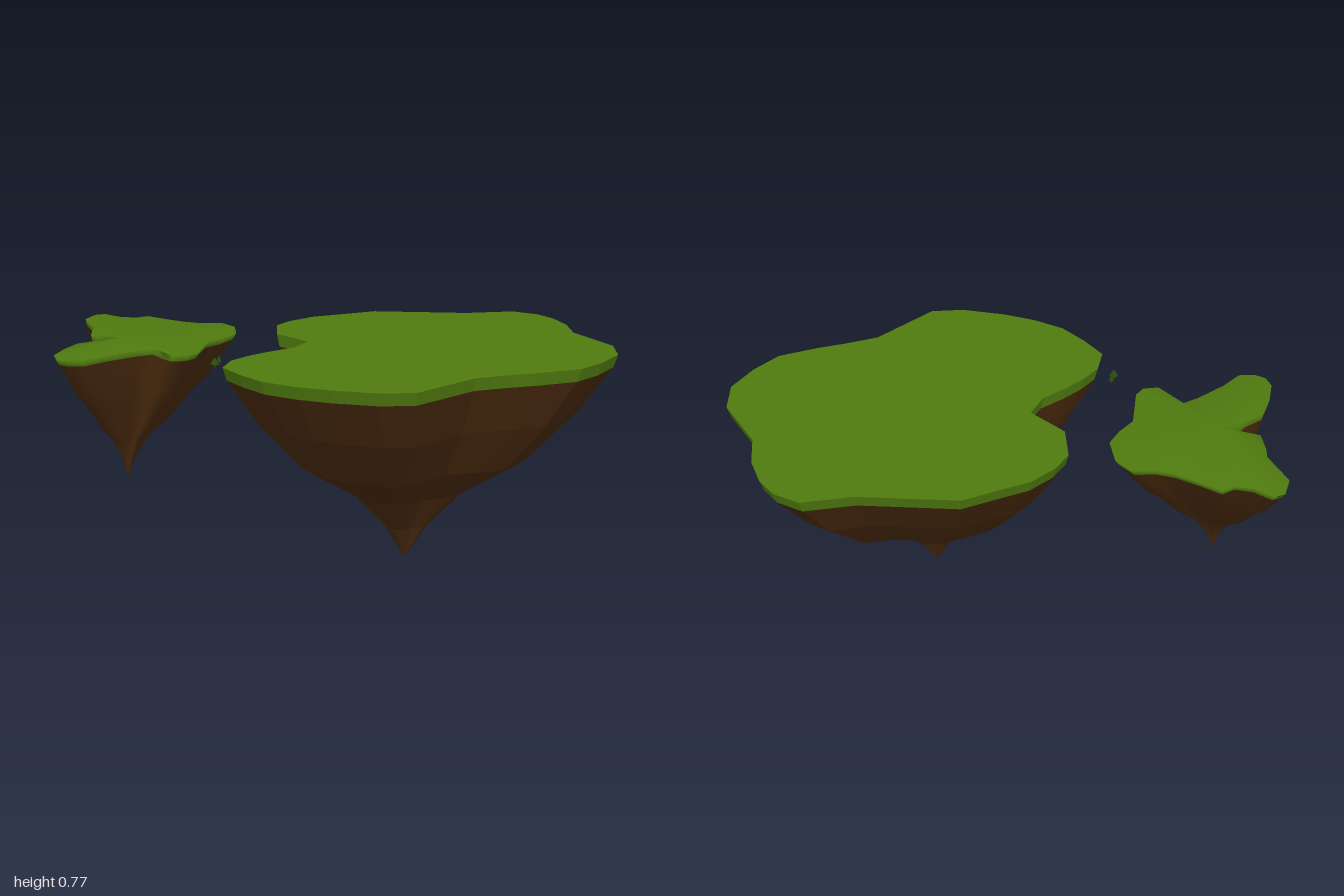
import * as THREE from 'three';

// Island outlines as [x, z], clockwise seen from above
const BIG = [
  [0.5, -0.67], [0.6, -0.65], [0.67, -0.6], [0.74, -0.51], [0.79, -0.39], [0.96, -0.235], [1, -0.11],
  [0.97, 0.02], [0.92, 0.13], [0.81, 0.22], [0.71, 0.29], [0.62, 0.36], [0.555, 0.48], [0.49, 0.6],
  [0.38, 0.645], [0.22, 0.66], [0.1, 0.655], [-0.02, 0.63], [-0.12, 0.57], [-0.21, 0.5], [-0.22, 0.4],
  [-0.19, 0.32], [-0.145, 0.24], [-0.085, 0.155], [-0.07, 0.055], [-0.215, -0.02], [-0.265, -0.15],
  [-0.245, -0.235], [-0.19, -0.33], [0, -0.5], [0.34, -0.585],
];
const SMALL = [
  [-1, -0.135], [-0.97, -0.16], [-0.9, -0.135], [-0.835, -0.14], [-0.8, -0.18], [-0.715, -0.155],
  [-0.625, -0.135], [-0.555, -0.135], [-0.485, -0.16], [-0.42, -0.12], [-0.375, -0.025], [-0.39, 0.05],
  [-0.42, 0.125], [-0.405, 0.21], [-0.39, 0.29], [-0.405, 0.335], [-0.455, 0.36], [-0.5, 0.33],
  [-0.56, 0.285], [-0.605, 0.335], [-0.675, 0.44], [-0.715, 0.525], [-0.77, 0.545], [-0.81, 0.535],
  [-0.84, 0.495], [-0.85, 0.4], [-0.845, 0.31], [-0.795, 0.24], [-0.78, 0.175], [-0.86, 0.175],
  [-0.895, 0.095], [-0.905, 0.055], [-1, -0.055],
];

// Skin between copies of an outline, each level [y, scale] shrunk toward the centre
function loft(outline, [cx, cz], levels) {
  const n = outline.length, pos = [], index = [];
  for (const [y, s] of levels)
    for (const [x, z] of outline) pos.push(cx + (x - cx) * s, y, cz + (z - cz) * s);
  for (let k = 0; k < levels.length - 1; k++)
    for (let i = 0; i < n; i++) {
      const a = k * n + i, b = k * n + (i + 1) % n;
      if (levels[k][1] > 0) index.push(a, b, a + n);
      if (levels[k + 1][1] > 0) index.push(b, b + n, a + n);
    }
  const g = new THREE.BufferGeometry();
  g.setAttribute('position', new THREE.Float32BufferAttribute(pos, 3));
  g.setIndex(index);
  g.computeVertexNormals();
  return g;
}

const paint = (color, flatShading = false) => new THREE.MeshStandardMaterial({ color, flatShading });

function part(parent, name, geometry, material, x = 0, y = 0, z = 0) {
  const m = new THREE.Mesh(geometry, material);
  m.name = name;
  m.position.set(x, y, z);
  parent.add(m);
  return m;
}

// Grass cap over a tapering rock; the first rock level is the lower edge of the cap
function island(name, outline, centre, top, rock, flat) {
  const g = new THREE.Group();
  g.name = name;
  part(g, 'grass', loft(outline, centre, [[top, 0], [top, 1], rock[0]]), paint(0x4f7a0f, flat));
  part(g, 'rock', loft(outline, centre, rock), paint(0x4a2a0e, flat));
  return g;
}

// Tiny floating tree: cone crown on a short stem
function tree(x, y, z, s) {
  const g = new THREE.Group();
  g.name = 'tinyTree';
  part(g, 'crown', new THREE.ConeGeometry(0.016, 0.024, 8), paint(0x2a4a10), 0, 0.022, 0);
  part(g, 'stem', new THREE.CylinderGeometry(0.005, 0.006, 0.012, 6), paint(0x4a2a0e), 0, 0.005, 0);
  g.position.set(x, y, z);
  g.scale.set(s, 1, s);
  return g;
}

export function createModel() {
  const model = new THREE.Group();
  model.name = 'floatingIslands';
  model.add(
    island('largeIsland', BIG, [0.3, 0.07], 0.76,
      [[0.715, 0.98], [0.55, 0.815], [0.375, 0.58], [0.25, 0.28], [0.125, 0.11], [0, 0]], true),
    island('smallIsland', SMALL, [-0.73, 0.18], 0.75,
      [[0.725, 0.96], [0.6, 0.735], [0.54, 0.58], [0.45, 0.395], [0.385, 0.21], [0.31, 0.08], [0.225, 0]], false),
    tree(-0.28, 0.733, 0.4, 1),
    tree(-0.28, 0.733, 0.365, 0.6),
  );
  return model;
}
